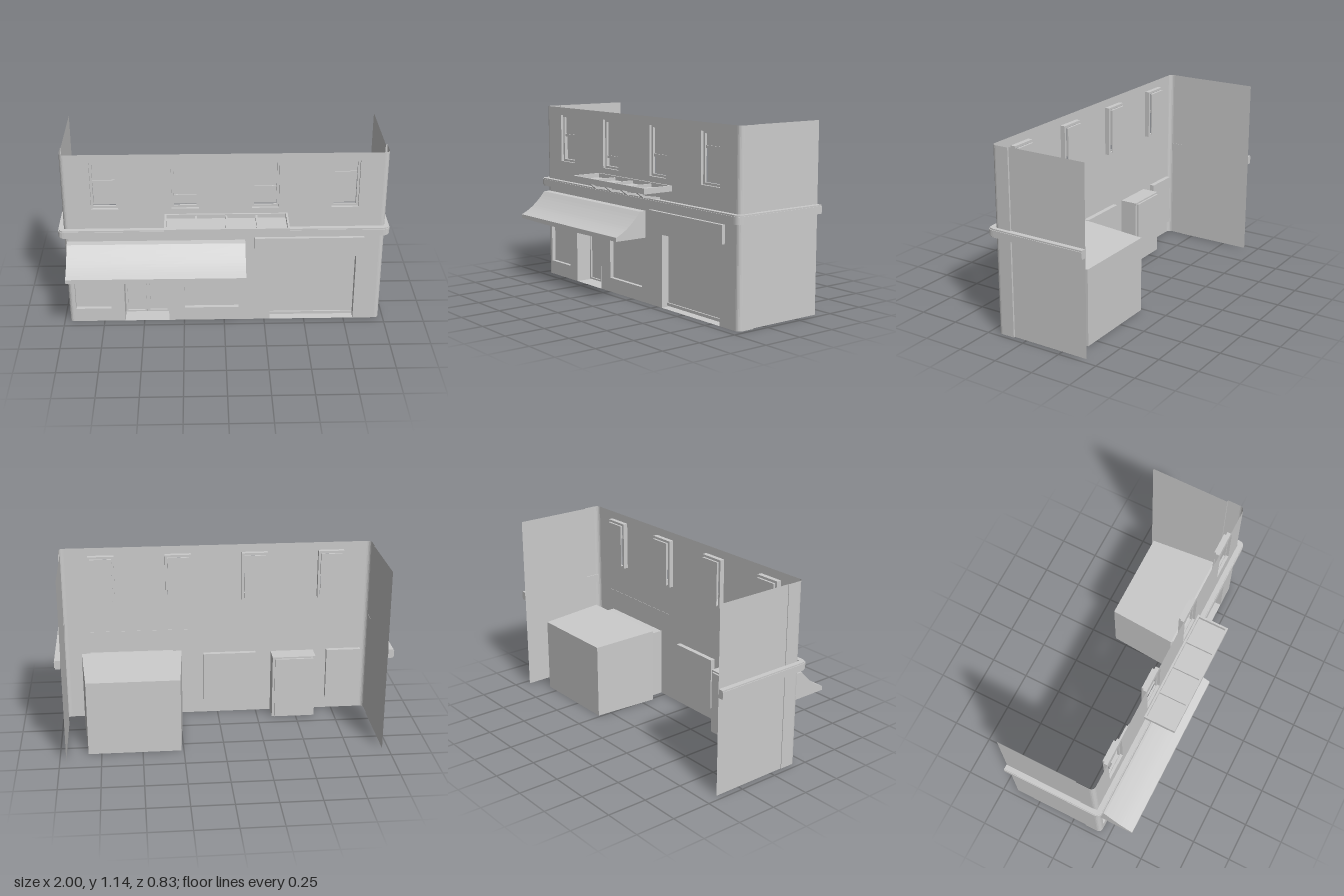
import * as THREE from 'three';

const mat = new THREE.MeshStandardMaterial({ color: 0xcccccc, side: THREE.DoubleSide, flatShading: true });
const FRONT = 0.195, BACK = -0.412, TOP = 1.14;

export function createModel() {
  const root = new THREE.Group();
  const add = (name, geo, parent = root) => {
    const m = new THREE.Mesh(geo, mat);
    m.name = name;
    parent.add(m);
    return m;
  };
  const group = (name) => {
    const g = new THREE.Group();
    g.name = name;
    root.add(g);
    return g;
  };
  // Box given by its limits
  const box = (name, x0, x1, y0, y1, z0, z1, parent) =>
    add(name, new THREE.BoxGeometry(x1 - x0, y1 - y0, z1 - z0)
      .translate((x0 + x1) / 2, (y0 + y1) / 2, (z0 + z1) / 2), parent);
  // Skin joining rows of points
  const loft = (rows) => {
    const n = rows[0].length, index = [];
    for (let i = 0; i < rows.length - 1; i++) {
      for (let j = 0; j < n - 1; j++) {
        const a = i * n + j, b = a + n;
        index.push(a, b, a + 1, b, b + 1, a + 1);
      }
    }
    const g = new THREE.BufferGeometry();
    g.setAttribute('position', new THREE.Float32BufferAttribute(rows.flat(2), 3));
    g.setIndex(index);
    g.computeVertexNormals();
    return g;
  };
  const rect = (Type, x0, x1, y0, y1) => new Type([[x0, y0], [x1, y0], [x1, y1], [x0, y1]]
    .map(([x, y]) => new THREE.Vector2(x, y)));
  const loop = (x0, x1, y0, y1, z) =>
    [[x0, y0, z], [x1, y0, z], [x1, y1, z], [x0, y1, z], [x0, y0, z]];
  // Ring-shaped frame
  const frame = (name, x0, x1, y0, y1, w, z0, z1, parent) => {
    const s = rect(THREE.Shape, x0, x1, y0, y1);
    s.holes.push(rect(THREE.Path, x0 + w, x1 - w, y0 + w, y1 - w));
    add(name, new THREE.ExtrudeGeometry(s, { depth: z1 - z0, bevelEnabled: false })
      .translate(0, 0, z0), parent);
  };

  // Openings: upper windows with rail height, shop windows, door, shutter
  const upper = [[-0.713, 0.957], [-0.233, 0.857], [0.246, 0.91], [0.723, 1.0]];
  const shop = [[-0.925, -0.705], [-0.245, 0.09]];
  const door = [-0.62, -0.345, 0, 0.415];
  const bay = [0.285, 0.81, 0, 0.445];
  const uy = [0.785, 1.09], sy = [0.09, 0.42], half = 0.081;

  // Front wall
  const wall = new THREE.Shape();
  const outline = [[-0.94, 0], [door[0], 0], [door[0], door[3]], [door[1], door[3]], [door[1], 0],
    [bay[0], 0], [bay[0], bay[3]], [bay[1], bay[3]], [bay[1], 0], [0.945, 0], [0.945, TOP], [-0.94, TOP]];
  wall.setFromPoints(outline.map(([x, y]) => new THREE.Vector2(x, y)));
  upper.forEach(([x]) => wall.holes.push(rect(THREE.Path, x - half, x + half, ...uy)));
  shop.forEach(([a, b]) => wall.holes.push(rect(THREE.Path, a, b, ...sy)));
  add('frontWall', new THREE.ShapeGeometry(wall).translate(0, 0, FRONT));

  // Rounded corners running into the side walls
  for (const [side, start, corner, flank] of [['right', -0.94, -0.967, -0.963], ['left', 0.945, 0.973, 0.962]]) {
    const plan = [];
    for (let i = 0; i <= 5; i++) {
      const a = (i / 5) * Math.PI / 2;
      plan.push([start + (corner - start) * Math.sin(a), FRONT - 0.028 * (1 - Math.cos(a))]);
    }
    plan.push([corner, 0.085], [flank, 0.085], [flank, BACK]);
    add(side + 'SideWall', loft([0, TOP].map((y) => plan.map(([x, z]) => [x, y, z]))));
  }

  // Cornice band around three sides
  const band = (name, out, y0, y1) => {
    const s = new THREE.Shape(), w = 0.965 + out, f = FRONT + out, r = 0.04;
    s.moveTo(-w, -BACK);
    s.lineTo(-w, -f + r);
    s.quadraticCurveTo(-w, -f, -w + r, -f);
    s.lineTo(w - r, -f);
    s.quadraticCurveTo(w, -f, w, -f + r);
    s.lineTo(w, -BACK);
    s.lineTo(0.965, -BACK);
    s.lineTo(0.965, -FRONT);
    s.lineTo(-0.965, -FRONT);
    s.lineTo(-0.965, -BACK);
    add(name, new THREE.ExtrudeGeometry(s, { depth: y1 - y0, bevelEnabled: false, curveSegments: 5 })
      .rotateX(-Math.PI / 2).translate(0, y0, 0));
  };
  band('corniceFoot', 0.03, 0.603, 0.612);
  band('cornice', 0.035, 0.612, 0.648);
  band('corniceTop', 0.031, 0.648, 0.656);

  // Upper sash windows
  upper.forEach(([x, rail]) => {
    const g = group('upperWindow'), a = x - half, b = x + half, i = 0.014;
    add('reveal', loft([loop(a, b, ...uy, FRONT), loop(a, b, ...uy, 0.165)]), g);
    frame('frame', a, b, ...uy, i, 0.165, 0.178, g);
    box('lowerPane', a + i, b - i, uy[0] + i, rail, 0.15, 0.155, g);
    box('upperPane', a + i, b - i, rail, uy[1] - i, 0.15, 0.163, g);
    box('rail', a + i, b - i, rail - 0.008, rail + 0.008, 0.15, 0.17, g);
  });

  // Shop windows
  shop.forEach(([a, b]) => {
    const g = group('shopWindow');
    add('reveal', loft([loop(a, b, ...sy, FRONT), loop(a, b, ...sy, 0.165)]), g);
    box('pane', a, b, ...sy, 0.165, 0.17, g);
  });

  // Recessed double door
  const entry = group('entrance');
  add('porch', loft([loop(...door, FRONT), loop(...door, 0.085)]), entry);
  box('doorBack', door[0] + 0.015, door[1] - 0.015, 0.005, 0.405, 0.073, 0.085, entry);
  add('porchBack', new THREE.ShapeGeometry(rect(THREE.Shape, ...door)).translate(0, 0, 0.085), entry);
  for (const x of [-0.552, -0.412]) frame('doorFrame', x - 0.064, x + 0.064, 0.005, 0.405, 0.01, 0.085, 0.097, entry);

  // Shutter bay with the room behind it
  const room = group('shutterBay');
  add('roomShell', loft([
    loop(...bay, FRONT), loop(...bay, 0.115), loop(0.235, 0.86, 0, 0.485, 0.085), loop(0.265, 0.83, 0, 0.47, -0.335),
  ]), room);
  box('roomBack', 0.265, 0.83, 0, 0.47, -0.335, -0.333, room);
  box('shutter', bay[0], bay[1], 0.01, bay[3], 0.14, 0.145, room);
  box('shutterSill', bay[0], bay[1], 0.008, 0.026, 0.14, 0.155, room);

  box('signBoard', 0.185, 0.85, 0.475, 0.585, FRONT - 0.002, 0.216);

  // Curved awning with closed ends
  const awning = group('awning');
  const curve = new THREE.SplineCurve([[0.237, 0.567], [0.275, 0.525], [0.325, 0.48], [0.37, 0.45], [0.415, 0.428]]
    .map(([z, y]) => new THREE.Vector2(z, y))).getPoints(12);
  const profile = [[FRONT, 0.569], ...curve.map((p) => [p.x, p.y]), [0.415, 0.404]];
  const rows = [];
  for (let i = 0; i <= 12; i++) {
    const t = i / 12, sag = 0.006 * Math.sin(Math.PI * t);
    rows.push(profile.map(([z, y], k) => [-0.95 + 1.077 * t, y - (k === profile.length - 1 ? sag : 0), z]));
  }
  add('canvas', loft(rows), awning);
  const end = new THREE.Shape([...profile, [FRONT, 0.404]].map(([z, y]) => new THREE.Vector2(-z, y)));
  for (const x of [-0.95, 0.127]) {
    add('endPanel', new THREE.ShapeGeometry(end).rotateY(Math.PI / 2).translate(x, 0, 0), awning);
  }

  // Canopy tray with four panels on braces
  const tray = group('canopy');
  const [c0, c1, w] = [-0.357, 0.38, 0.012];
  box('floor', c0, c1, 0.716, 0.724, FRONT, 0.397, tray);
  box('frontRim', c0, c1, 0.716, 0.75, 0.397 - w, 0.397, tray);
  box('backRim', c0, c1, 0.716, 0.75, FRONT, FRONT + w, tray);
  for (let i = 0; i <= 4; i++) {
    const x = c0 + (c1 - c0 - w) * i / 4;
    box('rib', x, x + w, 0.716, i % 4 ? 0.742 : 0.75, FRONT, 0.397, tray);
  }
  const brace = new THREE.Shape([[FRONT, 0.656], [0.315, 0.674], [0.375, 0.718], [0.362, 0.718],
    [0.31, 0.687], [FRONT, 0.668]].map(([z, y]) => new THREE.Vector2(-z, y)));
  for (const x of [-0.228, -0.066, 0.096, 0.258]) {
    add('brace', new THREE.ExtrudeGeometry(brace, { depth: 0.016, bevelEnabled: false })
      .rotateY(Math.PI / 2).translate(x - 0.008, 0, 0), tray);
  }
  return root;
}
